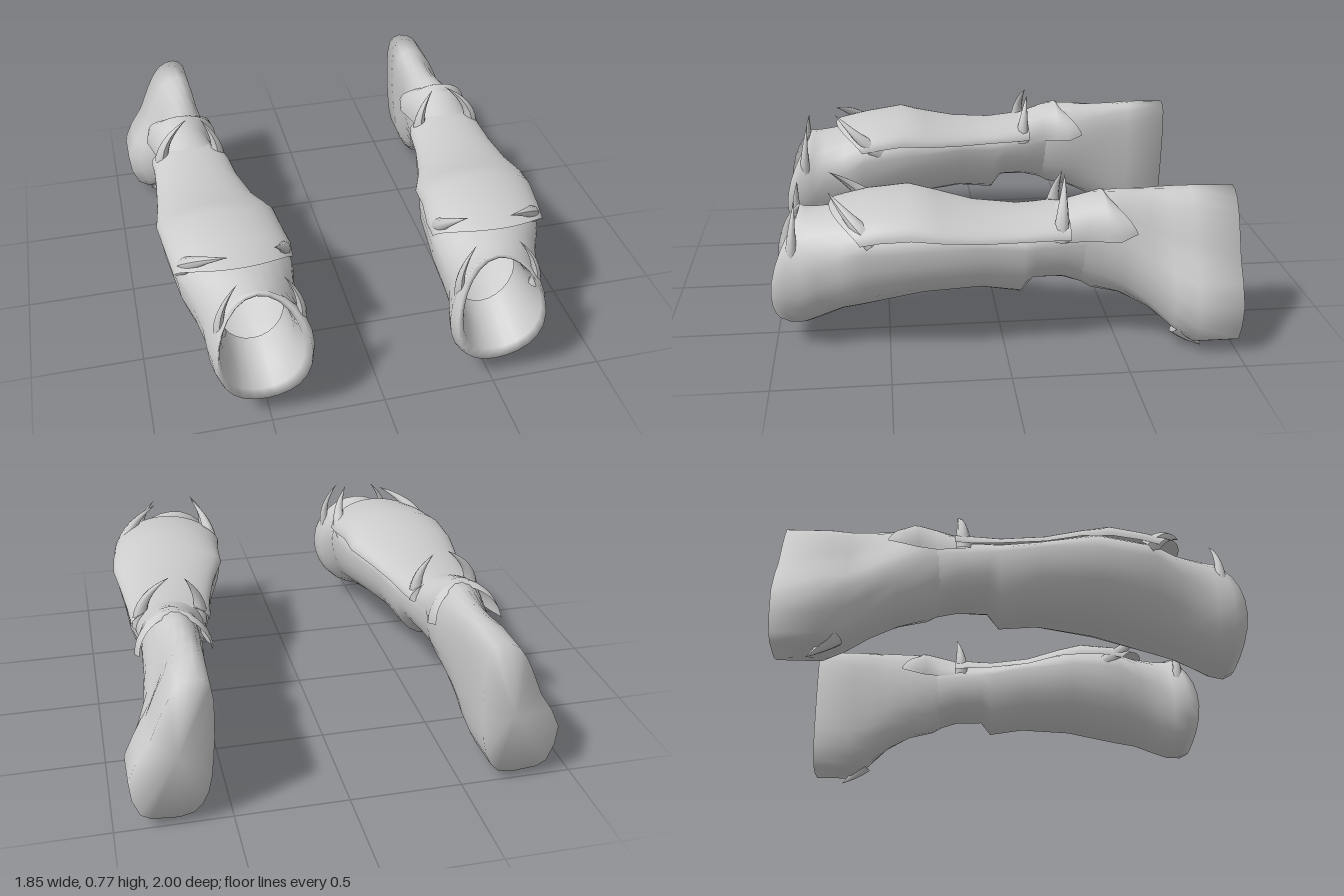
import * as THREE from 'three';

const material = new THREE.MeshStandardMaterial({ color: 0xcccccc, side: THREE.DoubleSide });

// Unit outline of the drooping upper sleeve: narrow at the top, bulging low on the outside
const droop = new THREE.CatmullRomCurve3([
  [1, -0.38], [0.45, 0.17], [0.15, 0.57], [-0.2, 0.9], [-0.66, 1], [-0.94, 0.88],
  [-1, 0.42], [-0.94, -0.2], [-0.8, -0.69], [-0.46, -0.97], [0.27, -1], [0.78, -0.91],
].map(([x, y]) => new THREE.Vector3(x, y, 0)), true);

// Skins cross-sections [z, x0, x1, y0, y1, slant, height of the widest line, droop amount].
// 'arch' builds only the upper half, standing on y0.
function loft(name, rows, arch = false) {
  const n = 24, cols = arch ? n + 1 : n;
  const pos = [], idx = [];
  const p = new THREE.Vector3();
  for (const [z, x0, x1, y0, y1, slant = 0, mid = arch ? y0 : (y0 + y1) / 2, sag = 0] of rows) {
    for (let i = 0; i < cols; i++) {
      const t = i / n, a = t * Math.PI * (arch ? 1 : 2);
      p.set(Math.cos(a), Math.sin(a), 0);
      if (sag) p.lerp(droop.getPoint(t), sag);
      pos.push((x0 + x1) / 2 + (x1 - x0) / 2 * p.x,
        mid + (p.y > 0 ? y1 - mid : mid - y0) * p.y,
        z - slant * (p.y + 1.6 * p.y * p.y));
    }
  }
  for (let r = 0; r < rows.length - 1; r++) {
    for (let i = 0; i < n; i++) {
      const a = r * cols + i, b = r * cols + (i + 1) % cols;
      idx.push(a, b, a + cols, b, b + cols, a + cols);
    }
  }
  const geo = new THREE.BufferGeometry();
  geo.setAttribute('position', new THREE.Float32BufferAttribute(pos, 3));
  geo.setIndex(idx);
  geo.computeVertexNormals();
  const mesh = new THREE.Mesh(geo, material);
  mesh.name = name;
  return mesh;
}

// Curved horn: a tube whose rings shrink towards the tip.
function horn(name, base, bend, tip, radius) {
  const curve = new THREE.QuadraticBezierCurve3(
    new THREE.Vector3(...base), new THREE.Vector3(...bend), new THREE.Vector3(...tip));
  const segs = 8, sides = 8;
  const geo = new THREE.TubeGeometry(curve, segs, radius, sides);
  const p = geo.attributes.position, v = new THREE.Vector3();
  for (let i = 0; i < p.count; i++) {
    const t = Math.floor(i / (sides + 1)) / segs;
    v.fromBufferAttribute(p, i).lerp(curve.getPointAt(t), t);
    p.setXYZ(i, v.x, v.y, v.z);
  }
  geo.computeVertexNormals();
  const mesh = new THREE.Mesh(geo, material);
  mesh.name = name;
  return mesh;
}

function createArm(name) {
  const arm = new THREE.Group();
  arm.name = name;

  // Forearm, from the inner lining over the wrist rim and back to the elbow
  arm.add(loft('forearmSleeve', [
    [0.72, 0.385, 0.665, 0.23, 0.57],
    [0.87, 0.37, 0.68, 0.19, 0.58, 0.02],
    [0.965, 0.345, 0.7, 0.14, 0.595, 0.037],
    [0.99, 0.315, 0.715, 0.1, 0.605, 0.045],
    [0.94, 0.297, 0.73, 0.08, 0.615, 0.027],
    [0.87, 0.315, 0.74, 0.085, 0.61, 0.007],
    [0.8, 0.335, 0.745, 0.11, 0.61, 0, 0.4],
    [0.7, 0.33, 0.77, 0.155, 0.62, 0, 0.44],
    [0.6, 0.315, 0.815, 0.18, 0.64, 0, 0.5],
    [0.35, 0.335, 0.85, 0.245, 0.67, 0, 0.52],
    [0.1, 0.41, 0.835, 0.265, 0.605, 0, 0.52],
    [-0.07, 0.45, 0.825, 0.24, 0.595, 0, 0.5],
    [-0.12, 0.465, 0.82, 0.31, 0.6, 0, 0.5],
    [-0.25, 0.495, 0.8, 0.305, 0.615, 0, 0.5],
    [-0.36, 0.53, 0.79, 0.27, 0.64, 0, 0.5],
  ]));

  // Upper arm, closed at the back
  arm.add(loft('upperSleeve', [
    [-0.3, 0.53, 0.79, 0.3, 0.65, 0, 0.5],
    [-0.38, 0.53, 0.795, 0.25, 0.69, 0, 0.48],
    [-0.5, 0.535, 0.8, 0.22, 0.695, 0, 0.46, 0.3],
    [-0.62, 0.55, 0.82, 0.16, 0.692, 0, 0.42, 0.65],
    [-0.72, 0.555, 0.87, 0.09, 0.69, 0, 0.38, 0.9],
    [-0.81, 0.56, 0.925, 0.04, 0.69, 0, 0.365, 1],
    [-1, 0.565, 0.925, 0.04, 0.687, 0, 0.365, 1],
    [-1, 0.72, 0.72, 0.32, 0.32],
  ]));

  // Armour plates on top of the forearm and the elbow
  arm.add(loft('forearmPlate', [
    [-0.265, 0.475, 0.83, 0.54, 0.63],
    [-0.2, 0.46, 0.825, 0.54, 0.63],
    [-0.07, 0.445, 0.83, 0.54, 0.612],
    [0.12, 0.4, 0.845, 0.545, 0.625],
    [0.28, 0.335, 0.865, 0.565, 0.66],
    [0.4, 0.33, 0.855, 0.575, 0.7],
    [0.53, 0.31, 0.84, 0.565, 0.675, -0.025],
    [0.61, 0.315, 0.83, 0.55, 0.645, -0.05],
  ], true));
  arm.add(loft('elbowPlate', [
    [-0.22, 0.49, 0.81, 0.52, 0.63],
    [-0.34, 0.525, 0.797, 0.52, 0.675],
    [-0.42, 0.51, 0.815, 0.52, 0.695],
    [-0.48, 0.49, 0.832, 0.525, 0.69, -0.02],
    [-0.55, 0.505, 0.815, 0.55, 0.67, -0.04],
  ], true));

  // Pairs of horns at the elbow, the plate front and the wrist rim, and a spur below
  const horns = [
    ['elbowHorn', [0.78, 0.53, -0.23], [0.8, 0.67, -0.23], [0.645, 0.77, -0.26], 0.04],
    ['elbowHorn', [0.52, 0.53, -0.23], [0.49, 0.64, -0.23], [0.58, 0.76, -0.26], 0.04],
    ['plateHorn', [0.785, 0.55, 0.56], [0.79, 0.64, 0.64], [0.61, 0.71, 0.74], 0.045],
    ['plateHorn', [0.365, 0.54, 0.53], [0.32, 0.62, 0.62], [0.42, 0.73, 0.74], 0.045],
    ['rimHorn', [0.685, 0.45, 0.9], [0.7, 0.57, 0.9], [0.6, 0.68, 0.88], 0.028],
    ['rimHorn', [0.35, 0.45, 0.9], [0.32, 0.57, 0.9], [0.41, 0.69, 0.88], 0.028],
    ['lowerSpur', [0.79, 0.1, -0.75], [0.8, 0.05, -0.79], [0.8, 0, -0.86], 0.045],
  ];
  for (const h of horns) arm.add(horn(...h));
  return arm;
}

export function createModel() {
  const model = new THREE.Group();
  model.name = 'armGuards';
  const right = createArm('rightArm');
  right.scale.x = -1;
  model.add(createArm('leftArm'), right);
  return model;
}
